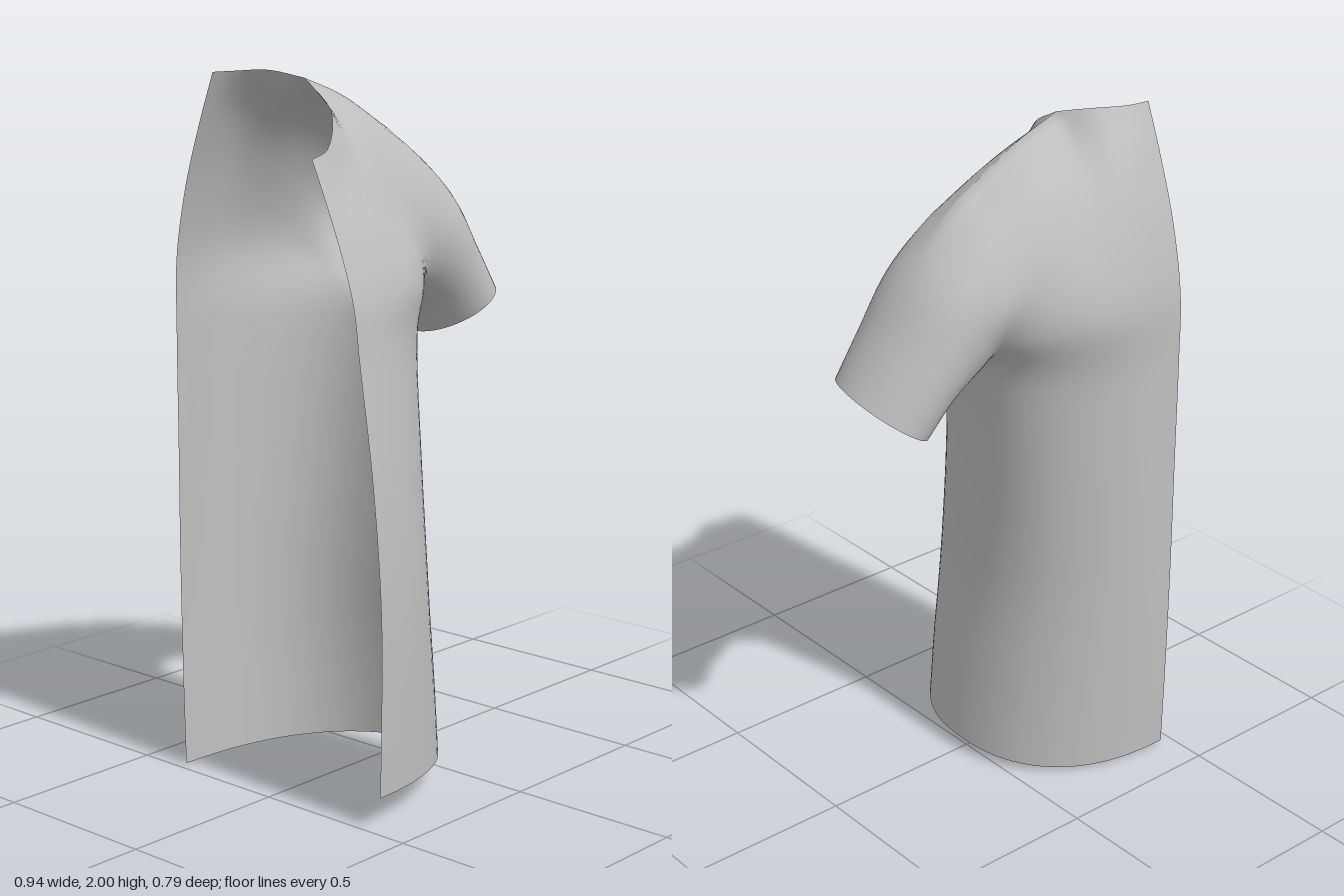
import * as THREE from 'three';
import { mergeVertices, mergeGeometries } from 'three/addons/utils/BufferGeometryUtils.js';

const N = 24; // columns from centre line to armhole
const K = 6; // samples per curve segment
const HIPS = 4; // curve segments between hem and armpit
const V = (p) => new THREE.Vector3(...p);
const spline = (pts) => new THREE.CatmullRomCurve3(pts);

// Torso levels: y (hem slopes with z), side x, front z, back z, side seam z, spine hollow
const levels = [
  [null, 0.03, 0.392, -0.365, 0.05, 0],
  [0.25, 0.015, 0.396, -0.375, 0.04, 0.005],
  [0.6, -0.01, 0.397, -0.388, 0, 0.015],
  [0.95, 0, 0.368, -0.396, -0.04, 0.025],
  [1.28, 0.035, 0.32, -0.4, -0.06, 0.03],
];

// Chest rows between armpit and shoulder, each from centre line to armhole
const chest = {
  front: [
    [[-0.47, 1.42, 0.3], [-0.29, 1.43, 0.285], [-0.14, 1.44, 0.245], [-0.03, 1.44, 0.165], [0.07, 1.41, 0.08]],
    [[-0.47, 1.57, 0.25], [-0.29, 1.6, 0.225], [-0.17, 1.63, 0.18], [-0.05, 1.63, 0.135], [0.09, 1.56, 0.11]],
    [[-0.47, 1.69, 0.2], [-0.31, 1.76, 0.145], [-0.21, 1.83, 0.08], [-0.07, 1.81, 0.045], [0.1, 1.73, 0.04]],
  ],
  back: [
    [[-0.47, 1.48, -0.365], [-0.28, 1.48, -0.395], [-0.13, 1.48, -0.375], [-0.01, 1.46, -0.32], [0.08, 1.42, -0.23]],
    [[-0.47, 1.68, -0.325], [-0.28, 1.67, -0.355], [-0.15, 1.67, -0.33], [-0.03, 1.65, -0.305], [0.1, 1.56, -0.295]],
    [[-0.47, 1.86, -0.265], [-0.31, 1.86, -0.28], [-0.2, 1.85, -0.235], [-0.06, 1.82, -0.22], [0.105, 1.73, -0.22]],
  ],
};
const necklines = {
  front: [[-0.47, 1.79, 0.155], [-0.4, 1.81, 0.145], [-0.31, 1.9, 0.075], [-0.26, 1.98, -0.07]],
  back: [[-0.47, 2, -0.21], [-0.4, 2, -0.2], [-0.31, 2, -0.155], [-0.26, 1.98, -0.07]],
};
const shoulder = [[-0.26, 1.98, -0.07], [-0.1, 1.925, -0.08], [0.1, 1.82, -0.09]];

// Sleeve rings: centre, half axis towards the top, half axis towards the front
const rings = [
  [[0.185, 1.495, -0.085], [0.075, 0.165, 0], [0, 0, 0.19]],
  [[0.28, 1.388, -0.08], [0.09, 0.103, 0.01], [-0.01, 0.01, 0.175]],
  [[0.362, 1.278, -0.075], [0.102, 0.068, 0.02], [-0.02, 0.02, 0.16]],
];

// Point on a torso level; c runs from centre line (0) to side seam (1)
function torsoPoint([y, side, zFront, zBack, zSide, hollow], c, isFront) {
  const power = isFront ? 1 : 2 / 2.4;
  const th = (c * Math.PI) / 2;
  const s = Math.sin(th) ** power;
  const k = Math.max(0, Math.cos(th)) ** power;
  let z = zSide + ((isFront ? zFront : zBack) - zSide) * k;
  if (!isFront) z += hollow * Math.exp(-((s / 0.25) ** 2));
  return new THREE.Vector3(-0.47 + (side + 0.47) * s, y ?? Math.max(0, 0.043 + 0.118 * z), z);
}

// Columns of points running from hem to neckline or shoulder
function panelGrid(name) {
  const isFront = name === 'front';
  const rows = chest[name].map((row) => spline(row.map(V)));
  const neck = spline(necklines[name].map(V));
  const ridge = spline(shoulder.map(V));
  return Array.from({ length: N + 1 }, (_, i) => {
    const c = i / N;
    const column = spline([
      ...levels.map((level) => torsoPoint(level, c, isFront)),
      ...rows.map((row) => row.getPoint(c)),
      c <= 0.5 ? neck.getPoint(c * 2) : ridge.getPoint(c * 2 - 1),
    ]);
    return column.getPoints(8 * K);
  });
}

// Lines running down the sleeve from the armhole, regrouped as columns
function sleeveGrid(panel, sign) {
  const lines = [];
  for (let j = HIPS * K; j <= 8 * K; j++) {
    const a = (Math.PI * (j - HIPS * K)) / (4 * K);
    const line = spline([
      panel[N - 5][j], panel[N][j],
      ...rings.map(([c, up, out]) => V(c)
        .addScaledVector(V(up), -Math.cos(a))
        .addScaledVector(V(out), sign * Math.sin(a))),
    ]);
    lines.push(line.getPoints(4 * K).slice(K));
  }
  return lines[0].map((_, i) => lines.map((line) => line[i]));
}

// Bring two matching points together on a seam
function join(a, b) {
  a.lerp(b, 0.5);
  b.copy(a);
}

function gridGeometry(grid, flip) {
  const rows = grid[0].length;
  const index = [];
  for (let i = 0; i < grid.length - 1; i++) {
    for (let j = 0; j < rows - 1; j++) {
      const a = i * rows + j, b = a + rows;
      if (flip) index.push(a, b + 1, b, a, a + 1, b + 1);
      else index.push(a, b, b + 1, a, b + 1, a + 1);
    }
  }
  const geometry = new THREE.BufferGeometry().setFromPoints(grid.flat());
  geometry.setIndex(index);
  return geometry;
}

export function createModel() {
  const fabric = new THREE.MeshStandardMaterial({ color: 0xbfbfbf, side: THREE.DoubleSide });
  fabric.name = 'grey fabric';

  // Front and back panels, joined along the side seam
  const front = panelGrid('front');
  const back = panelGrid('back');
  for (let j = 0; j <= HIPS * K; j++) join(front[N][j], back[N][j]);

  // Sleeve halves, joined along the underside and top
  const sleeveFront = sleeveGrid(front, 1);
  const sleeveBack = sleeveGrid(back, -1);
  sleeveFront.forEach((column, i) => {
    join(column[0], sleeveBack[i][0]);
    join(column.at(-1), sleeveBack[i].at(-1));
  });

  // One continuous cloth so the shading runs smoothly across the seams
  const cloth = mergeVertices(mergeGeometries([
    gridGeometry(front, false), gridGeometry(back, true),
    gridGeometry(sleeveFront, false), gridGeometry(sleeveBack, true),
  ]), 1e-4);
  cloth.computeVertexNormals();

  const shirt = new THREE.Mesh(cloth, fabric);
  shirt.name = 'shirtHalf';
  const group = new THREE.Group();
  group.name = 'halfShirt';
  group.add(shirt);
  return group;
}
